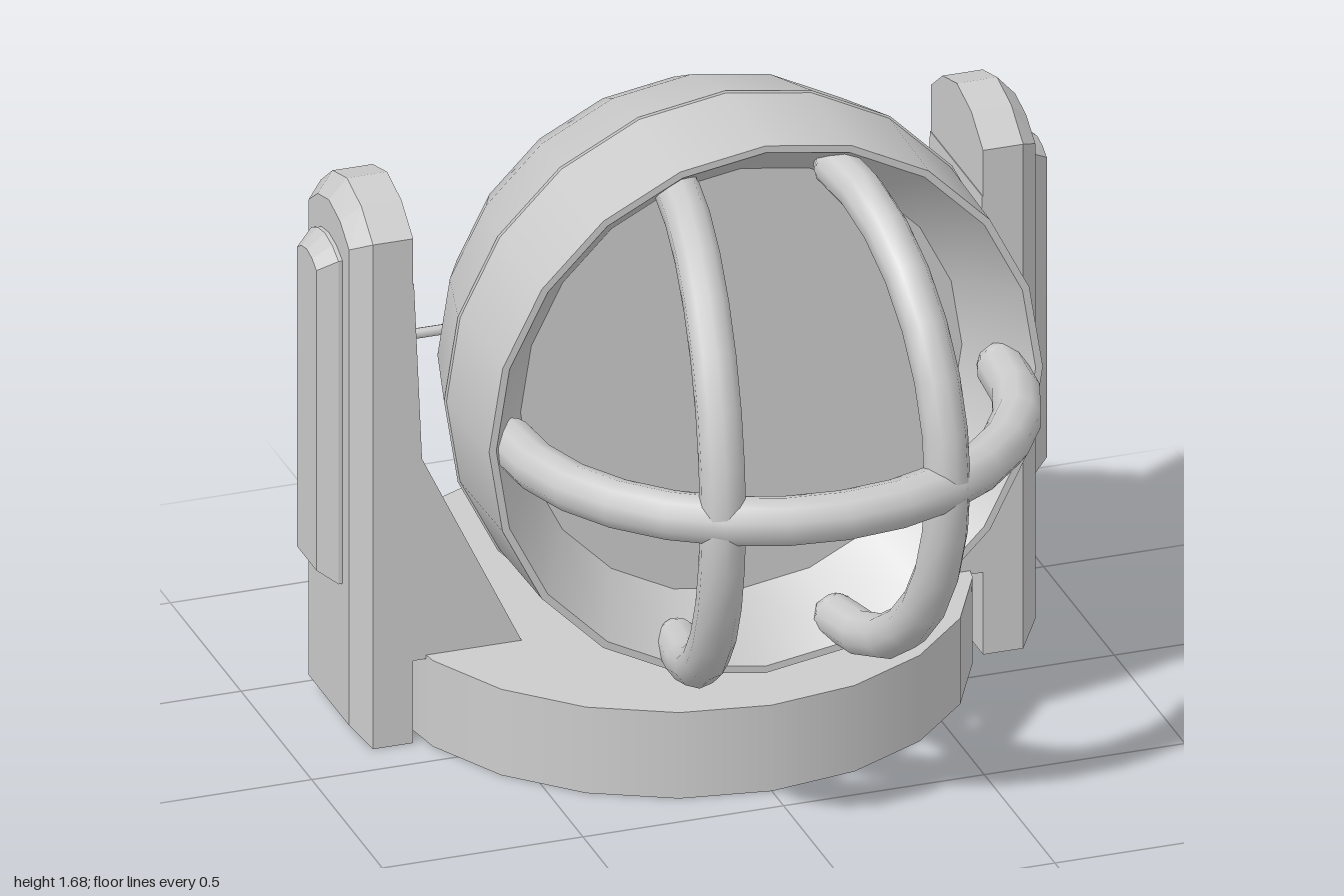
import * as THREE from 'three';
import { ConvexGeometry } from 'three/addons/geometries/ConvexGeometry.js';

const mat = new THREE.MeshStandardMaterial({ color: 0xcccccc });
const flat = new THREE.MeshStandardMaterial({ color: 0xcccccc, flatShading: true });
const AXIS_Z = -0.29; // depth of the base and arm centres

function add(parent, name, geometry, material = mat) {
  const mesh = new THREE.Mesh(geometry, material);
  mesh.name = name;
  parent.add(mesh);
  return mesh;
}

// Arched plate outline at a given x, as a ring of points
function archRing(x, half, y0, y1, rise) {
  const outline = [[-1, y0], [1, y0], [1, y1 - rise], [0.55, y1 - rise * 0.3],
    [0, y1], [-0.55, y1 - rise * 0.3], [-1, y1 - rise]];
  return outline.map(([u, y]) => new THREE.Vector3(x, y, u * half));
}

// Support arm on the +x side, symmetric front to back
function buildArm(name) {
  const arm = new THREE.Group();
  arm.name = name;
  add(arm, 'armPlate', new ConvexGeometry([
    ...archRing(0.71, 0.185, 0, 1.41, 0.09),
    ...archRing(0.81, 0.185, 0, 1.41, 0.09),
    ...archRing(0.855, 0.143, 0.05, 1.36, 0.065),
  ]), flat);
  add(arm, 'armPanel', new ConvexGeometry([
    ...archRing(0.85, 0.097, 0.4, 1.275, 0.03),
    ...archRing(0.865, 0.097, 0.4, 1.275, 0.03),
    ...archRing(0.91, 0.068, 0.43, 1.24, 0.025),
  ]), flat);

  // Sloping inner brace standing on the base
  const side = new THREE.Shape([[0.72, 0.215], [0.72, 1.2], [0.708, 1.2], [0.688, 0.74], [0.44, 0.225], [0.44, 0.215]]
    .map(([x, y]) => new THREE.Vector2(x, y)));
  const brace = new THREE.ExtrudeGeometry(side, { depth: 0.37, bevelEnabled: false });
  add(arm, 'armBrace', brace.translate(0, 0, -0.185), flat);

  const pin = new THREE.CylinderGeometry(0.013, 0.013, 0.22, 8);
  add(arm, 'pivotPin', pin.rotateZ(Math.PI / 2).translate(0.62, 0.98, -0.01));
  return arm;
}

// Profile of [radius, z] points turned about the lamp's front-to-back axis
function turned(parent, name, profile) {
  const geometry = new THREE.LatheGeometry(profile.map(([r, z]) => new THREE.Vector2(r, z)), 20);
  return add(parent, name, geometry.rotateX(Math.PI / 2));
}

// Round guard bar along an arc, with rounded ends
function guardBar(parent, name, radius, sweep, pointAt) {
  const points = [];
  for (let i = 0; i <= 12; i++) points.push(pointAt((i / 6 - 1) * sweep));
  const bar = new THREE.Group();
  bar.name = name;
  add(bar, 'bar', new THREE.TubeGeometry(new THREE.CatmullRomCurve3(points), 14, radius, 10));
  for (const p of [points[0], points[12]]) {
    add(bar, 'barEnd', new THREE.SphereGeometry(radius, 10, 6)).position.copy(p);
  }
  parent.add(bar);
}

export function createModel() {
  const model = new THREE.Group();
  model.name = 'searchlight';

  // Base
  add(model, 'base', new THREE.CylinderGeometry(0.707, 0.707, 0.225, 20)).position.set(0, 0.1125, AXIS_Z);

  // Arms, the second turned half way round
  ['leftArm', 'rightArm'].forEach((name, i) => {
    const arm = buildArm(name);
    arm.position.z = AXIS_Z;
    arm.rotation.y = i * Math.PI;
    model.add(arm);
  });

  // Lamp housing
  const lamp = new THREE.Group();
  lamp.name = 'lamp';
  lamp.position.y = 0.98;
  model.add(lamp);
  turned(lamp, 'rearDome', [[0, -0.59], [0.4, -0.43], [0.565, -0.285], [0.632, -0.155], [0.7, 0.085]]);
  turned(lamp, 'domeLip', [[0.7, 0.085], [0.69, 0.09]]);
  turned(lamp, 'drum', [[0.695, 0.085], [0.69, 0.375]]);
  turned(lamp, 'rim', [[0.69, 0.375], [0.672, 0.375]]);
  turned(lamp, 'reflector', [[0.672, 0.375], [0.55, 0.2]]);
  turned(lamp, 'lens', [[0.55, 0.2], [0, 0.2]]);

  // Guard cage
  const cage = new THREE.Group();
  cage.name = 'guardCage';
  model.add(cage);
  guardBar(cage, 'crossBar', 0.06, 1.6, t =>
    new THREE.Vector3(0.61 * Math.sin(t), 0.96, 0.325 + 0.605 * Math.cos(t)));
  for (const s of [1, -1]) {
    guardBar(cage, s > 0 ? 'leftBar' : 'rightBar', 0.055, 1.6, t =>
      new THREE.Vector3(s * (0.2 + 0.08 * Math.cos(t)), 0.965 + 0.59 * Math.sin(t), 0.325 + 0.54 * Math.cos(t)));
  }
  return model;
}
